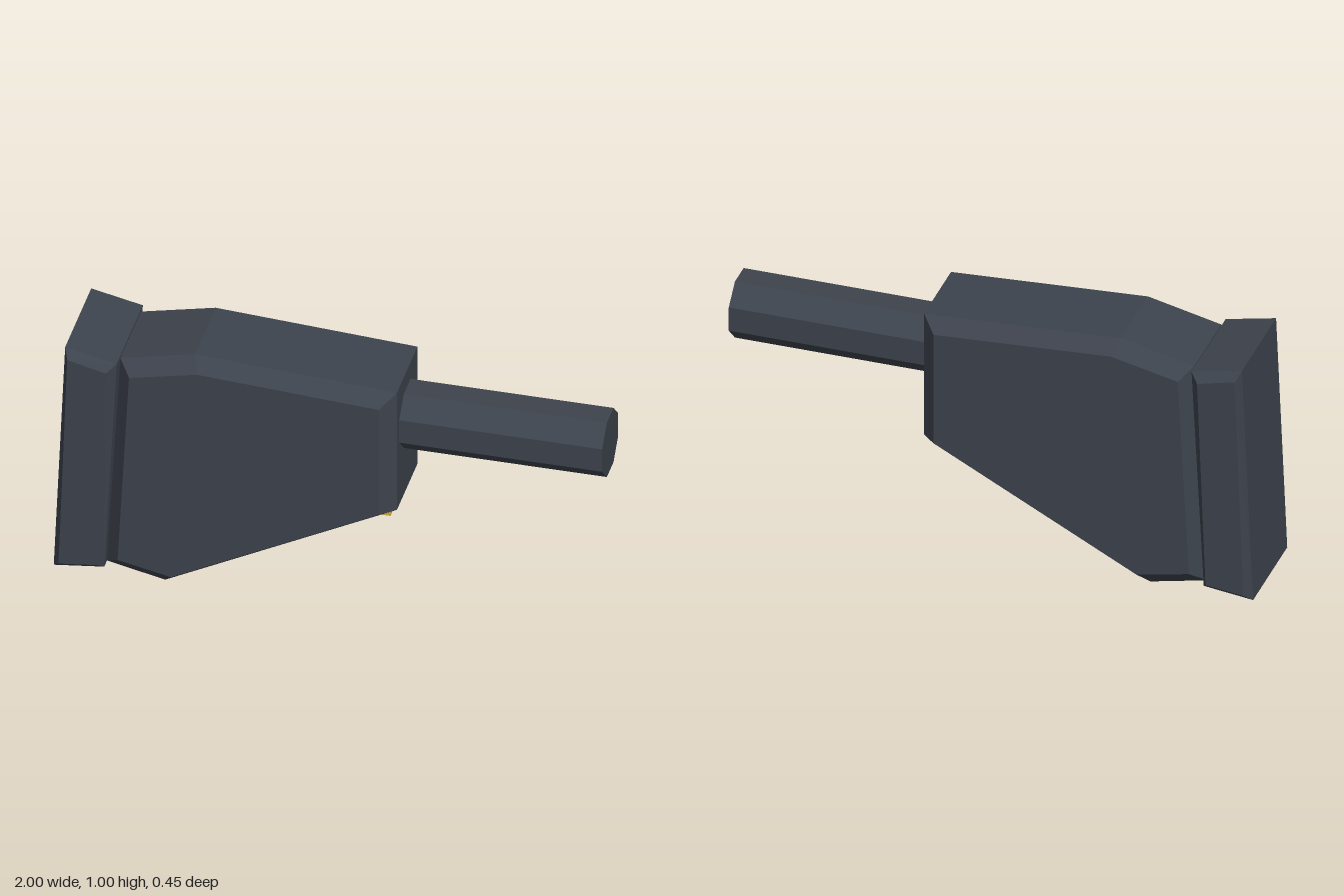
import * as THREE from 'three';

// Closed slab with chamfered rims; outlines run counter-clockwise seen from +z
function chamferedSlab(outer, inner, zOuter, zInner) {
  const rings = [[inner, -zInner], [outer, -zOuter], [outer, zOuter], [inner, zInner]];
  const n = outer.length;
  const pos = [];
  const put = (r, i) => pos.push(...rings[r][0][i % n], rings[r][1]);
  for (let r = 0; r < 3; r++) {
    for (let i = 0; i < n; i++) {
      put(r, i); put(r, i + 1); put(r + 1, i + 1);
      put(r, i); put(r + 1, i + 1); put(r + 1, i);
    }
  }
  for (let i = 1; i < n - 1; i++) {
    put(3, 0); put(3, i); put(3, i + 1);
    put(0, 0); put(0, i + 1); put(0, i);
  }
  const geometry = new THREE.BufferGeometry();
  geometry.setAttribute('position', new THREE.Float32BufferAttribute(pos, 3));
  geometry.computeVertexNormals();
  return geometry;
}

export function createModel() {
  const model = new THREE.Group();
  model.name = 'model';
  const gunmetal = new THREE.MeshStandardMaterial({ name: 'gunmetal', color: 0x3d434d, flatShading: true });
  const brass = new THREE.MeshStandardMaterial({ name: 'brass', color: 0xd4af37, flatShading: true });

  const add = (name, geometry, material) => {
    const mesh = new THREE.Mesh(geometry, material);
    mesh.name = name;
    model.add(mesh);
    return mesh;
  };

  // Tapered main housing
  add('housing', chamferedSlab(
    [[-0.815, 0.05], [-0.6, 0.003], [0.253, 0.45], [0.253, 0.957], [-0.49, 1.0], [-0.765, 0.937]],
    [[-0.762, 0.096], [-0.565, 0.055], [0.2, 0.455], [0.2, 0.909], [-0.468, 0.949], [-0.72, 0.893]],
    0.15, 0.203), gunmetal);

  // Wider plate at the rear end
  add('endPlate', chamferedSlab(
    [[-1.0, 0.027], [-0.814, 0.05], [-0.768, 0.937], [-0.958, 0.978]],
    [[-0.974, 0.059], [-0.832, 0.076], [-0.8, 0.912], [-0.942, 0.947]],
    0.19, 0.224), gunmetal);

  // Octagonal barrel with flats facing up and sideways
  const barrel = new THREE.CylinderGeometry(0.127, 0.127, 0.8, 8);
  barrel.rotateY(Math.PI / 8).rotateZ(-Math.PI / 2);
  add('barrel', barrel, gunmetal).position.set(0.6, 0.768, 0);

  // Small block under the nose
  add('underBlock', new THREE.BoxGeometry(0.13, 0.11, 0.147), brass).position.set(0.145, 0.42, 0);

  return model;
}
